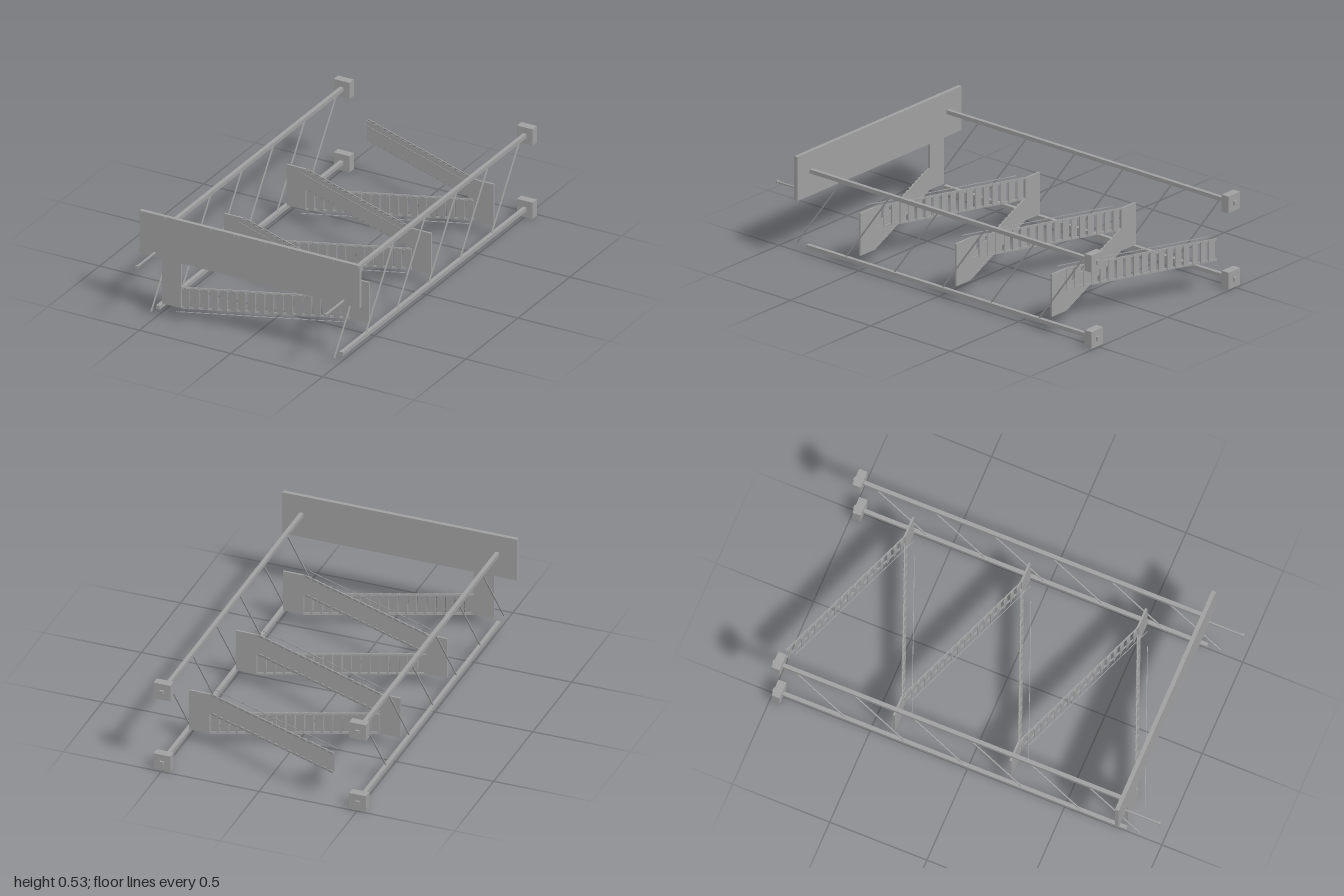
import * as THREE from 'three';

export function createModel() {
  const model = new THREE.Group();
  model.name = 'stairTower';
  const steel = new THREE.MeshStandardMaterial({ color: 0xa0a0a0 });
  steel.name = 'steelGrey';

  // Box given by its min/max on each axis
  function box(name, x0, x1, y0, y1, z0, z1, parent = model) {
    const mesh = new THREE.Mesh(new THREE.BoxGeometry(x1 - x0, y1 - y0, z1 - z0), steel);
    mesh.position.set((x0 + x1) / 2, (y0 + y1) / 2, (z0 + z1) / 2);
    mesh.name = name;
    parent.add(mesh);
    return mesh;
  }

  // Square bar between two points
  function bar(name, a, b, w, h, parent = model) {
    const p = new THREE.Vector3(...a), q = new THREE.Vector3(...b);
    const mesh = new THREE.Mesh(new THREE.BoxGeometry(w, h, p.distanceTo(q)), steel);
    mesh.position.copy(p).add(q).multiplyScalar(0.5);
    mesh.lookAt(q);
    mesh.name = name;
    parent.add(mesh);
    return mesh;
  }

  // The tower lies on its side: its own "up" runs along +z
  const lowY = 0.043, highY = 0.433;
  box('platform', -0.6, 0.6, 0.308, 0.533, 0.8, 0.82);
  for (const x of [0.063, 0.085, 0.216, 0.46, 0.592])
    for (const s of [-1, 1])
      box('platformCleat', s * x - 0.002, s * x + 0.002, 0.518, 0.533, 0.82, 0.824);

  for (const s of [-1, 1]) {
    const x = s * 0.5;
    // Legs and footings
    for (const [y, top] of [[lowY, 0.82], [highY, 0.8]]) {
      box('leg', x - 0.01, x + 0.01, y - 0.01, y + 0.01, -1, top);
      box('footing', x - 0.043, x + 0.043, y - 0.043, y + 0.043, -0.99, -0.948);
    }
    // Slanted side braces
    for (let i = 0; i < 6; i++) {
      const z = 0.885 - i * 0.302;
      bar('brace', [x, 0.048, z], [x, 0.425, z - 0.275], 0.006, 0.006);
    }
    // Posts on the platform
    const px = s * 0.515;
    box('post', px - 0.004, px + 0.004, 0.326, 0.334, 0.82, 0.994);
    box('postCap', px - 0.008, px + 0.008, 0.322, 0.338, 0.992, 1);
  }

  // Zigzag flights, alternating between two lanes
  const turnX = 0.375, steps = 18;
  const turnZ = i => 0.812 - i * 0.2997;
  const lanes = [[0.068, 0.176], [0.176, 0.284]];
  for (let i = 0; i < 6; i++) {
    const flight = new THREE.Group();
    flight.name = 'stairFlight';
    model.add(flight);
    const dir = i % 2 ? -1 : 1;
    const [y0, y1] = lanes[i % 2];
    const xa = -dir * turnX, xb = dir * turnX;
    const za = turnZ(i), zb = turnZ(i + 1);
    for (const y of [y0 + 0.0025, y1 - 0.0025])
      bar('stringer', [xa, y, za], [xb, y, zb], 0.005, 0.011, flight);
    for (let k = 0; k < steps; k++) {
      const t = (k + 0.5) / steps;
      const x = xa + (xb - xa) * t, z = za + (zb - za) * t + 0.004;
      const half = turnX / steps;
      box('tread', x - half, x + half, y0, y1, z - 0.002, z + 0.002, flight);
    }
    const railY = i % 2 ? y1 - 0.0015 : y0 + 0.0015;
    bar('handrail', [xa, railY, za + 0.05], [xb, railY, zb + 0.05], 0.003, 0.003, flight);
  }

  // Landings at the turns, and the walkway joining the platform
  for (let i = 0; i < 6; i++) {
    const s = i % 2 ? 1 : -1;
    const z = turnZ(i);
    box(i ? 'landing' : 'platformWalkway',
      Math.min(s * 0.375, s * 0.48), Math.max(s * 0.375, s * 0.48),
      0.068, i ? 0.284 : 0.308, z - 0.005, z + 0.005);
  }
  return model;
}
